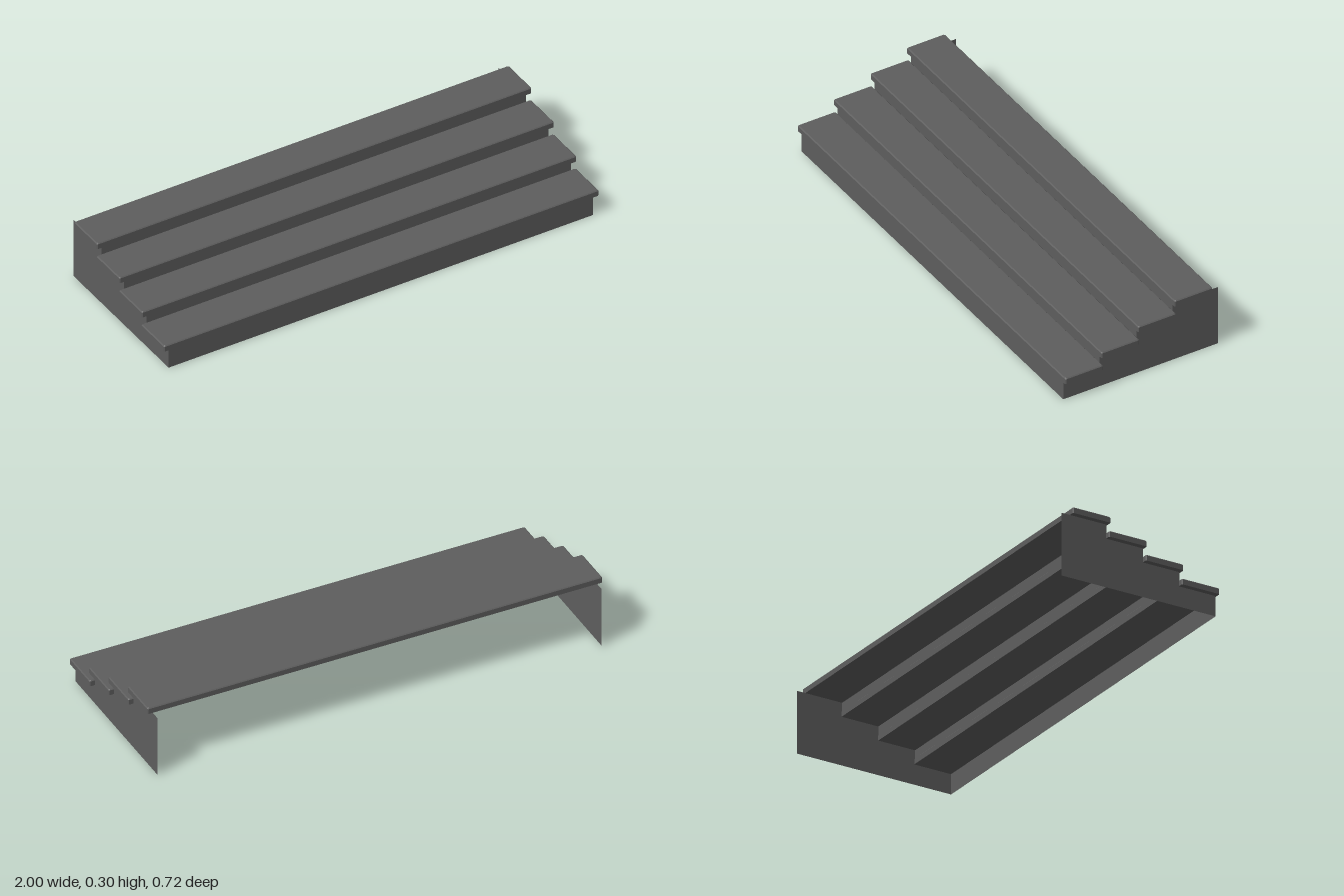
import * as THREE from 'three';

const material = new THREE.MeshStandardMaterial({ color: 0x5e5e5e, flatShading: true, side: THREE.DoubleSide });

const HALF = 0.977;                            // half distance between the side panels
const BACK = -0.36;
const riserZ = [0.355, 0.188, 0.018, -0.15];   // face of each riser
const treadY = [0.088, 0.15, 0.211, 0.272];    // underside of each tread
const TREAD_H = 0.0265, TREAD_D = 0.175, CHAMFER = 0.004;

// Slab with clipped corners and a chamfered top edge, lying on y = 0
function treadGeometry(w, d, h, c) {
  const x = w / 2, z = d / 2;
  const outline = new THREE.Shape([
    [x - c, -z], [x, -z + c], [x, z - c], [x - c, z],
    [-x + c, z], [-x, z - c], [-x, -z + c], [-x + c, -z],
  ].map(([a, b]) => new THREE.Vector2(a, b)));
  const g = new THREE.ExtrudeGeometry(outline, { depth: h, steps: 2, bevelEnabled: false });
  const p = g.attributes.position;
  for (let i = 0; i < p.count; i++) {
    const level = p.getZ(i) / h;
    if (level > 0.9) {
      p.setX(i, p.getX(i) * (x - c) / x);
      p.setY(i, p.getY(i) * (z - c) / z);
    } else if (level > 0.1) p.setZ(i, h - c);
  }
  g.rotateX(-Math.PI / 2);
  g.computeVertexNormals();
  return g;
}

export function createModel() {
  const model = new THREE.Group();
  model.name = 'steps';
  const add = (geometry, name, x, y, z) => {
    const mesh = new THREE.Mesh(geometry, material);
    mesh.name = name;
    mesh.position.set(x, y, z);
    model.add(mesh);
  };

  // Treads and thin risers
  const slab = treadGeometry(2, TREAD_D, TREAD_H, CHAMFER);
  riserZ.forEach((z, i) => {
    const bottom = i ? treadY[i - 1] : 0;
    const height = treadY[i] - bottom;
    add(new THREE.PlaneGeometry(2 * HALF, height), 'riser' + (i + 1), 0, bottom + height / 2, z);
    add(slab, 'tread' + (i + 1), 0, treadY[i], z + 0.0045 - TREAD_D / 2);
  });

  // Stepped side panels; the back and underside stay open
  const profile = new THREE.Shape();
  profile.moveTo(-BACK, 0);
  profile.lineTo(-riserZ[0], 0);
  riserZ.forEach((z, i) => {
    profile.lineTo(-z, treadY[i]);
    profile.lineTo(i < 3 ? -riserZ[i + 1] : -BACK, treadY[i]);
  });
  const panel = new THREE.ShapeGeometry(profile).rotateY(Math.PI / 2);
  add(panel, 'leftSidePanel', HALF, 0, 0);
  add(panel, 'rightSidePanel', -HALF, 0, 0);
  return model;
}
